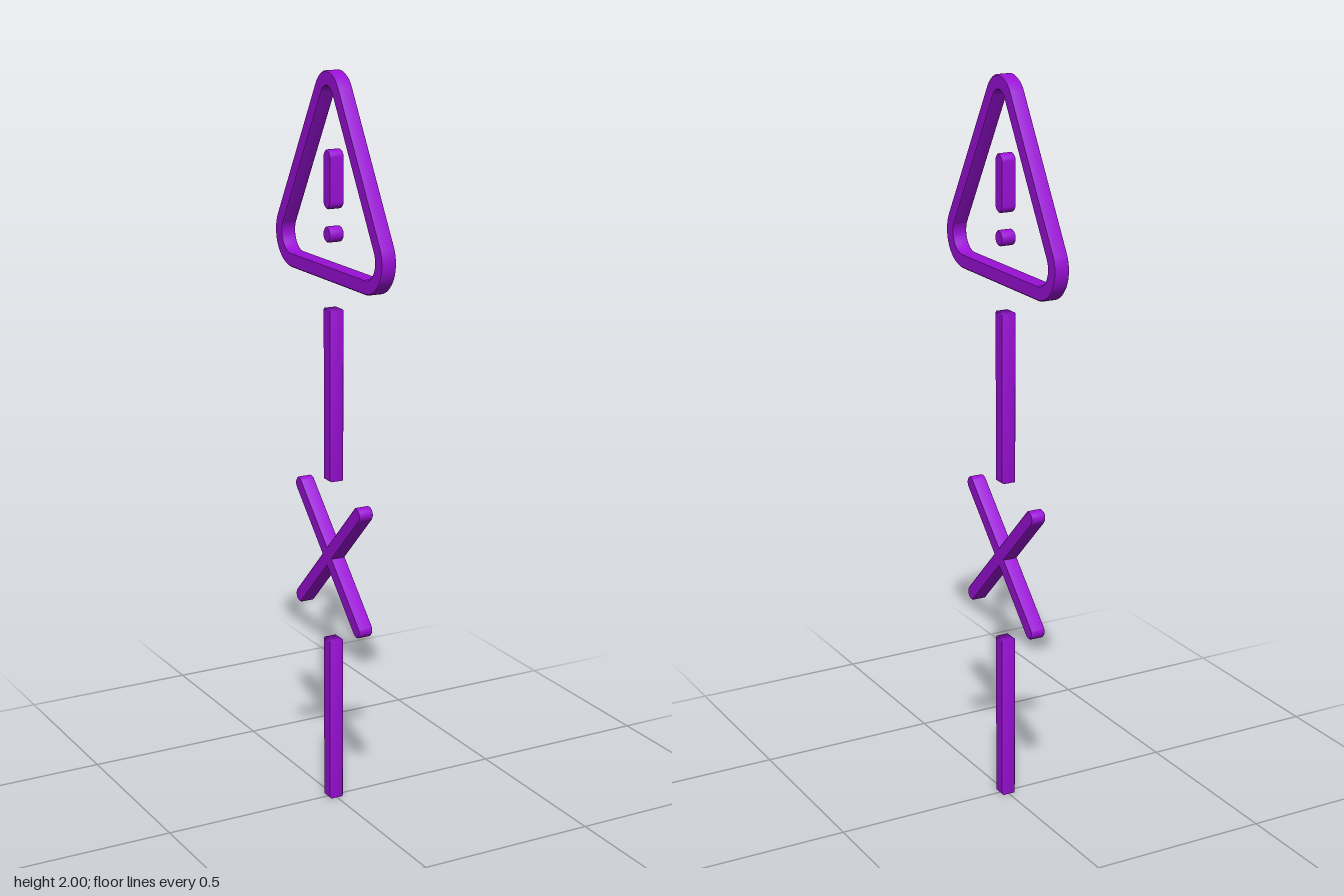
import * as THREE from 'three';
import { mergeVertices, mergeGeometries } from 'three/addons/utils/BufferGeometryUtils.js';

const THICK = 0.04, HALF = THICK / 2, BEVEL = 0.003;
const purple = new THREE.MeshStandardMaterial({ color: 0x9a10d6 });

// Copies a run of vertices into a geometry holding positions only
function slice(geometry, { start, count }) {
  const array = geometry.attributes.position.array.slice(start * 3, (start + count) * 3);
  const part = new THREE.BufferGeometry();
  part.setAttribute('position', new THREE.BufferAttribute(array, 3));
  return part;
}

// Thin plate with flat faces and a smoothly shaded rim, lying in the y-z plane
function plate(name, shape) {
  const raw = new THREE.ExtrudeGeometry(shape, {
    depth: THICK - 2 * BEVEL, curveSegments: 12,
    bevelThickness: BEVEL, bevelSize: BEVEL, bevelOffset: -BEVEL, bevelSegments: 1,
  });
  const faces = slice(raw, raw.groups[0]);
  faces.computeVertexNormals();
  const rim = mergeVertices(slice(raw, raw.groups[1]));
  rim.computeVertexNormals();
  const geometry = mergeGeometries([faces, rim.toNonIndexed()]);
  geometry.translate(0, 0, BEVEL - HALF).rotateY(Math.PI / 2);
  const mesh = new THREE.Mesh(geometry, purple);
  mesh.name = name;
  return mesh;
}

function barShape(height) {
  const s = new THREE.Shape();
  s.moveTo(-HALF, 0).lineTo(HALF, 0).lineTo(HALF, height).lineTo(-HALF, height);
  return s;
}

// Upright stroke with round ends, centred on the origin
function strokeShape(length) {
  const h = length / 2 - HALF;
  const s = new THREE.Shape();
  s.absarc(0, h, HALF, 0, Math.PI);
  s.absarc(0, -h, HALF, Math.PI, 2 * Math.PI);
  return s;
}

// Triangle with rounded corners, shrunk by an inset
function triangle(path, inset) {
  const third = 2 * Math.PI / 3;
  [[0.2, 1.549, 0.09], [0, 1.929, 0.071], [-0.2, 1.549, 0.09]].forEach(([x, y, r], i) => {
    const start = -Math.PI / 2 + i * third;
    path.absarc(x, y, r - inset, start, start + third);
  });
  return path;
}

export function createModel() {
  const model = new THREE.Group();
  model.name = 'warningMarker';

  // Warning triangle
  const frame = triangle(new THREE.Shape(), 0);
  frame.holes.push(triangle(new THREE.Path(), THICK));
  model.add(plate('triangleFrame', frame));

  // Exclamation mark
  const stroke = plate('exclamationStroke', strokeShape(0.154));
  stroke.position.y = 1.723;
  const dot = plate('exclamationDot', new THREE.Shape().absarc(0, 0, 0.021, 0, 2 * Math.PI));
  dot.position.y = 1.58;
  model.add(stroke, dot);

  // Upright bars
  for (const [name, y] of [['lowerBar', 0], ['upperBar', 0.917]]) {
    const bar = plate(name, barShape(0.466));
    bar.position.y = y;
    model.add(bar);
  }

  // Crossed arms
  const cross = new THREE.Group();
  cross.name = 'cross';
  cross.position.y = 0.704;
  for (const side of [-1, 1]) {
    const arm = plate('crossArm', strokeShape(0.494));
    arm.rotation.x = side * Math.PI / 4;
    cross.add(arm);
  }
  model.add(cross);
  return model;
}
